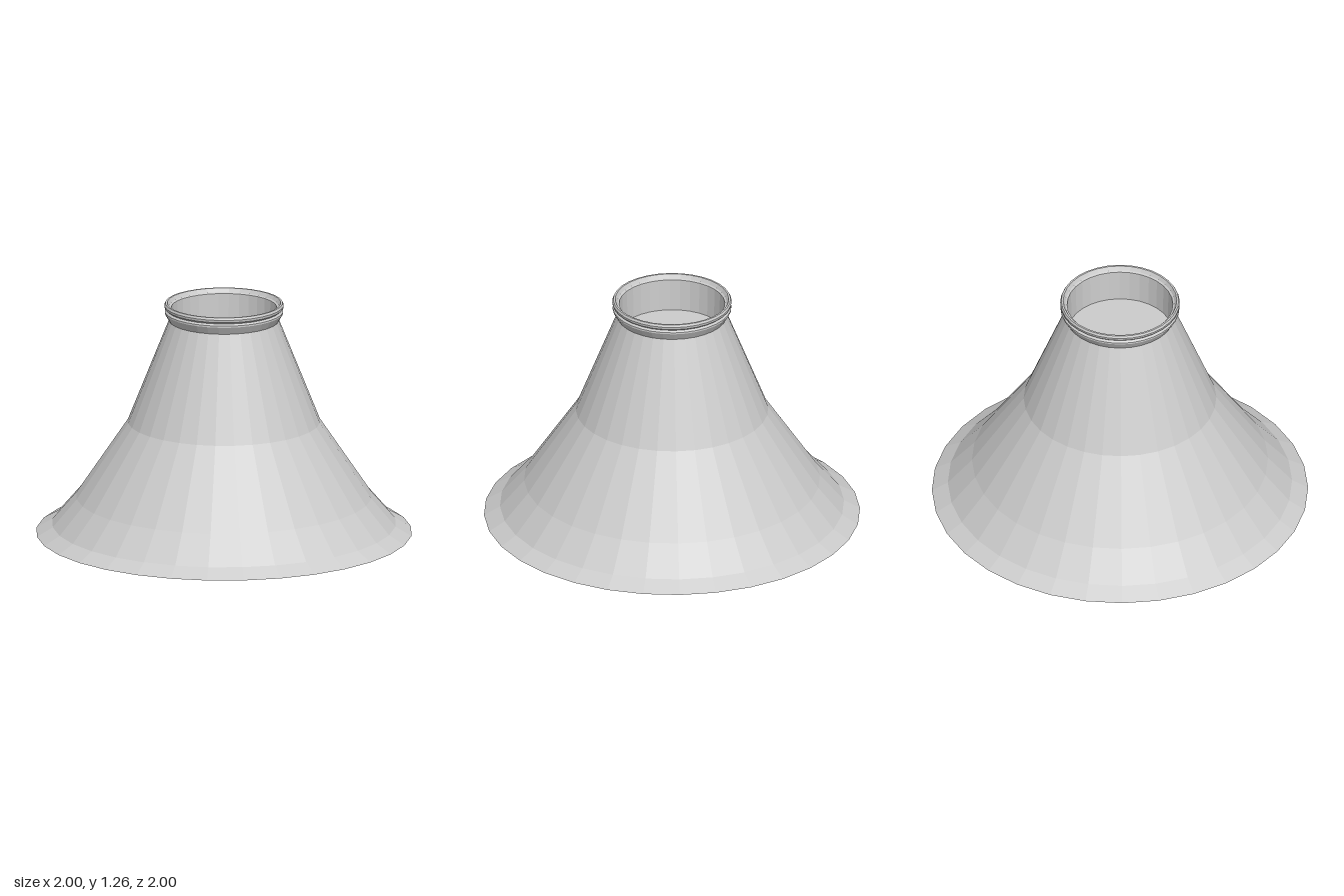
import * as THREE from 'three';

const SIDES = 32;

// Turns an [radius, height] profile, listed bottom-out-up-in, into a faceted mesh
function turned(name, profile) {
  const points = profile.map(([r, y]) => new THREE.Vector2(r, y));
  const material = new THREE.MeshStandardMaterial({ color: 0xcccccc, flatShading: true });
  const mesh = new THREE.Mesh(new THREE.LatheGeometry(points, SIDES), material);
  mesh.name = name;
  return mesh;
}

export function createModel() {
  const group = new THREE.Group();
  group.name = 'flaredBase';

  // Closed underside and bell-shaped wall
  group.add(turned('flaredBody', [
    [0, 0], [1, 0], [0.915, 0.05], [0.787, 0.2], [0.512, 0.61], [0.292, 1.165],
  ]));

  // Flared collar with a groove and a rounded lip
  group.add(turned('collar', [
    [0.292, 1.165], [0.316, 1.207], [0.316, 1.216], [0.305, 1.225],
    [0.316, 1.235], [0.318, 1.248], [0.312, 1.26], [0.302, 1.26], [0.291, 1.24],
  ]));

  // Shallow recess inside the collar
  group.add(turned('socket', [
    [0.291, 1.24], [0.281, 1.235], [0.276, 1.06], [0, 1.06],
  ]));

  return group;
}
